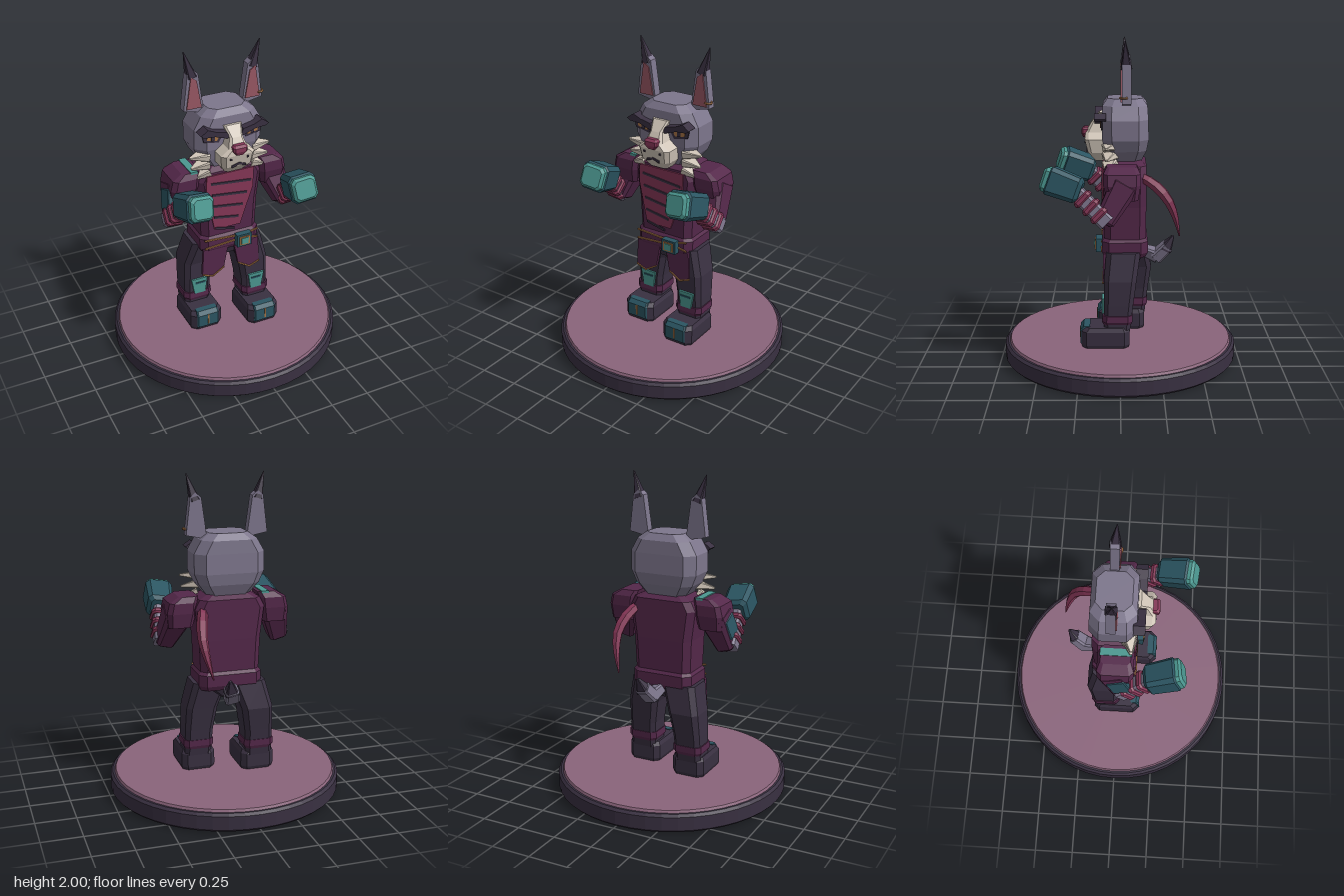
import * as THREE from 'three';

const mat = (name, color) => Object.assign(new THREE.MeshStandardMaterial({ color }), { name });

export function createModel() {
  const root = new THREE.Group();
  root.name = 'boxerFigure';
  const coat = mat('coatPlum', 0x54284a), burgundy = mat('burgundy', 0x843656);
  const charcoal = mat('charcoal', 0x393041), fur = mat('greyFur', 0x7d768c);
  const cream = mat('cream', 0xd0c5b8), teal = mat('teal', 0x4b9790);
  const deepTeal = mat('deepTeal', 0x2b5562), gold = mat('gold', 0xa87445);
  const mauve = mat('mauve', 0x8a647b), pink = mat('earPink', 0x985763);

  const add = (name, geo, m, parent = root) => {
    let g = geo;
    if (g.index) g = g.toNonIndexed();
    g.computeVertexNormals();
    const mesh = new THREE.Mesh(g, m);
    mesh.name = name;
    parent.add(mesh);
    return mesh;
  };

  // Faceted solid from chamfered rectangles stacked along y: [y, cx, cz, halfWidth, halfDepth]
  const loft = (rings, chamfer = 0.3) => {
    const loops = rings.map(([y, cx, cz, w, d]) => {
      const c = Math.min(w, d) * chamfer;
      return [[w, c - d], [w, d - c], [w - c, d], [c - w, d], [-w, d - c], [-w, c - d], [c - w, -d], [w - c, -d]]
        .map(([x, z]) => [cx + x, y, cz + z]);
    });
    const out = [];
    const cap = (i, flip) => {
      const [y, cx, cz] = rings[i], L = loops[i];
      L.forEach((p, j) => {
        const q = L[(j + 1) % 8];
        out.push(cx, y, cz, ...(flip ? p : q), ...(flip ? q : p));
      });
    };
    cap(0, true);
    for (let i = 0; i + 1 < loops.length; i++) {
      for (let j = 0; j < 8; j++) {
        const k = (j + 1) % 8, a = loops[i][j], b = loops[i][k], c = loops[i + 1][j], d = loops[i + 1][k];
        out.push(...a, ...c, ...b, ...b, ...c, ...d);
      }
    }
    cap(loops.length - 1, false);
    const g = new THREE.BufferGeometry();
    g.setAttribute('position', new THREE.Float32BufferAttribute(out, 3));
    return g;
  };

  // Tapered faceted bar from a to b, with bevelled ends
  const limb = (name, a, b, [w0, d0], [w1, d1], m, bevel = 0) => {
    const A = new THREE.Vector3(...a), D = new THREE.Vector3(...b).sub(A), n = D.length(), k = bevel / n;
    const rings = [[0, 0, 0, w0, d0], [n, 0, 0, w1, d1]];
    if (bevel) {
      rings[0][0] = bevel; rings[1][0] = n - bevel;
      rings.unshift([0, 0, 0, w0 - bevel, d0 - bevel]);
      rings.push([n, 0, 0, w1 - bevel, d1 - bevel]);
    }
    const mesh = add(name, loft(rings), m);
    mesh.quaternion.setFromUnitVectors(new THREE.Vector3(0, 1, 0), D.normalize());
    mesh.position.copy(A);
    return mesh;
  };

  // Flat plate facing +z; s mirrors it in x
  const plate = (name, pts, z, depth, m, s = 1) => {
    const shape = new THREE.Shape(pts.map(([x, y]) => new THREE.Vector2(x * s, y)));
    const mesh = add(name, new THREE.ExtrudeGeometry(shape, { depth, bevelEnabled: false }), m);
    mesh.position.z = z;
    return mesh;
  };
  const line = (name, [x0, y0], [x1, y1], t, z, m, s = 1) =>
    plate(name, [[x0, y0 - t], [x1, y1 - t], [x1, y1 + t], [x0, y0 + t]], z, 0.008, m, s);
  const box = (name, x, y, z, w, h, d, m) => {
    const mesh = add(name, new THREE.BoxGeometry(w, h, d), m);
    mesh.position.set(x, y, z);
    return mesh;
  };

  // Display base
  add('baseRim', new THREE.LatheGeometry([[0, 0], [0.715, 0], [0.73, 0.015], [0.73, 0.1], [0.715, 0.115], [0, 0.115]]
    .map((p) => new THREE.Vector2(...p)), 48), charcoal);
  add('baseTop', new THREE.CylinderGeometry(0.695, 0.705, 0.02, 48), mauve).position.y = 0.12;

  // Torso, hem and hips
  add('torso', loft([[0.76, 0, -0.03, 0.185, 0.125], [1.0, 0, -0.03, 0.195, 0.13], [1.19, 0, -0.03, 0.22, 0.13],
    [1.25, 0, -0.03, 0.19, 0.13], [1.28, 0, -0.03, 0.13, 0.09]]), coat);
  add('hem', loft([[0.68, 0, -0.03, 0.185, 0.125], [0.71, 0, -0.03, 0.2, 0.14], [0.78, 0, -0.03, 0.2, 0.14],
    [0.8, 0, -0.03, 0.185, 0.125]]), coat);
  add('hips', loft([[0.62, 0, -0.03, 0.05, 0.09], [0.7, 0, -0.03, 0.16, 0.12]]), charcoal);
  plate('chestPanel', [[-0.165, 1.235], [0.15, 1.235], [0.145, 1.1], [0.06, 0.85], [-0.115, 0.85], [-0.17, 1.12]],
    0.1, 0.009, burgundy);
  for (let i = 0; i < 5; i++) {
    const y = 1.18 - i * 0.08, x = -0.14 + i * 0.007;
    line('chestSeam', [x, y], [x + 0.27 - i * 0.035, y - 0.03], 0.007, 0.107, charcoal);
  }

  // Belt cords and buckle
  for (const [y0, y1] of [[0.785, 0.77], [0.725, 0.74]]) {
    line('beltCord', [-0.185, y0], [0.03, y1], 0.005, 0.11, gold);
    line('beltCord', [0.11, y1], [0.18, y0], 0.005, 0.11, gold);
  }
  box('buckle', 0.072, 0.745, 0.13, 0.1, 0.085, 0.04, deepTeal);
  box('buckleFrame', 0.072, 0.745, 0.151, 0.07, 0.06, 0.008, gold);
  box('buckleStone', 0.072, 0.745, 0.156, 0.048, 0.042, 0.008, teal);

  for (const s of [1, -1]) {
    const dz = s > 0 ? 0 : -0.1, X = (x) => x * s;

    // Staggered legs, cuffs, shin patches and boots
    add('leg', loft([[0.23, X(0.185), 0.02 + dz, 0.085, 0.08], [0.4, X(0.18), 0.01 + dz, 0.09, 0.09],
      [0.55, X(0.165), dz, 0.1, 0.1], [0.72, X(0.115), -0.02 + dz * 0.4, 0.11, 0.105]]), charcoal);
    add('legCuff', loft([[0.275, X(0.183), 0.018 + dz, 0.085, 0.085], [0.295, X(0.183), 0.018 + dz, 0.096, 0.093],
      [0.335, X(0.183), 0.016 + dz, 0.094, 0.092]]), coat);
    plate('shinPatch', [[0.14, 0.325], [0.215, 0.325], [0.235, 0.435], [0.125, 0.435]], 0.1 + dz, 0.012, teal, s);
    line('patchStitch', [0.14, 0.405], [0.21, 0.405], 0.006, 0.108 + dz, deepTeal, s);
    add('boot', loft([[0.13, X(0.18), 0.09 + dz, 0.1, 0.14], [0.15, X(0.18), 0.09 + dz, 0.107, 0.148],
      [0.235, X(0.18), 0.09 + dz, 0.107, 0.148], [0.26, X(0.18), 0.085 + dz, 0.095, 0.13]]), charcoal);
    add('toeCap', loft([[0.155, X(0.18), 0.22 + dz, 0.075, 0.026], [0.24, X(0.18), 0.22 + dz, 0.075, 0.026],
      [0.265, X(0.18), 0.205 + dz, 0.07, 0.02]]), deepTeal);
    line('toeTrim', [0.175, 0.205], [0.185, 0.205], 0.035, 0.243 + dz, gold, s);

    // Coat flaps with gold edging
    plate('coatFlap', [[0.02, 0.71], [0.19, 0.71], [0.2, 0.53], [0.13, 0.5], [0.05, 0.55]], 0.085, 0.02, coat, s);
    line('flapTrim', [0.2, 0.53], [0.13, 0.503], 0.005, 0.102, gold, s);
    line('flapTrim', [0.13, 0.503], [0.05, 0.553], 0.005, 0.102, gold, s);

    // Raised arms
    const az = s > 0 ? 0 : -0.055;
    const at = (t) => [X(0.375 - 0.03 * t), 0.975 + 0.155 * t, 0.1 + az + 0.16 * t];
    add('shoulder', loft([[1.08, X(0.3), -0.015, 0.075, 0.09], [1.17, X(0.295), -0.01, 0.09, 0.11],
      [1.235, X(0.285), -0.01, 0.085, 0.11], [1.27, X(0.25), -0.01, 0.06, 0.09]]), coat);
    limb('upperArm', [X(0.365), 0.945, 0.1 + az], [X(0.3), 1.17, -0.03], [0.055, 0.06], [0.085, 0.085], coat, 0.015);
    limb('forearm', at(-0.15), at(1), [0.05, 0.05], [0.045, 0.045], fur);
    for (const t of [0.15, 0.45, 0.75]) limb('armWrap', at(t - 0.09), at(t + 0.09), [0.063, 0.06], [0.06, 0.057], burgundy, 0.01);
    limb('glove', [X(0.353), 1.135, 0.23 + az], [X(0.322), 1.205, 0.43 + az], [0.078, 0.076], [0.085, 0.085], deepTeal, 0.022);
    limb('knucklePad', [X(0.326), 1.195, 0.4 + az], [X(0.318), 1.212, 0.452 + az], [0.078, 0.074], [0.076, 0.072], teal, 0.015);

    // Ears with dark tufts
    plate('ear', [[0.255, 1.635], [0.125, 1.61], [0.16, 1.86], [0.195, 1.89], [0.228, 1.86]], -0.065, 0.055, fur, s);
    plate('innerEar', [[0.238, 1.645], [0.142, 1.645], [0.172, 1.82], [0.208, 1.845]], -0.011, 0.008, pink, s);
    limb('earTuft', [X(0.195), 1.84, -0.037], [X(0.243), 2.0, -0.028], [0.03, 0.034], [0.002, 0.002], charcoal);

    // Eyes, brows and cheek tufts
    plate('eyeRim', [[0.055, 1.51], [0.2, 1.54], [0.185, 1.475], [0.09, 1.455]], 0.106, 0.008, charcoal, s);
    plate('iris', [[0.085, 1.505], [0.17, 1.525], [0.165, 1.485], [0.1, 1.472]], 0.112, 0.006, gold, s);
    plate('pupil', [[0.115, 1.515], [0.14, 1.52], [0.14, 1.478], [0.118, 1.475]], 0.116, 0.005, charcoal, s);
    plate('brow', [[0.035, 1.5], [0.055, 1.535], [0.125, 1.55], [0.175, 1.572], [0.22, 1.54], [0.2, 1.525], [0.13, 1.52], [0.05, 1.492]],
      0.085, 0.07, charcoal, s);
    for (let i = 0; i < 3; i++) {
      const y = 1.385 - i * 0.052;
      limb('cheekTuft', [X(0.15), y - 0.02, 0.06], [X(0.262 - i * 0.008), y - 0.015 - i * 0.02, 0.08],
        [0.028, 0.05], [0.006, 0.008], cream);
    }
    // Whisker dots
    box('whiskerDot', X(0.055), 1.38, 0.21, 0.012, 0.012, 0.012, charcoal);
  }

  // Head, muzzle, nose and mouth
  add('head', loft([[1.25, 0, -0.03, 0.12, 0.09], [1.34, 0, -0.035, 0.19, 0.125], [1.41, 0, -0.032, 0.22, 0.14],
    [1.53, 0, -0.03, 0.22, 0.14], [1.61, 0, -0.03, 0.175, 0.135], [1.65, 0, -0.03, 0.12, 0.105]], 0.42), fur);
  const muzzle = [[1.265, 0.06, 0.15], [1.32, 0.1, 0.195], [1.4, 0.11, 0.215], [1.44, 0.06, 0.21], [1.5, 0.042, 0.175], [1.56, 0.058, 0.125]];
  add('muzzle', loft(muzzle.map(([y, w, f]) => [y, 0, (f + 0.05) / 2, w, (f - 0.05) / 2])), cream);
  add('nose', loft([[1.405, 0, 0.2, 0.025, 0.025], [1.43, 0, 0.2, 0.045, 0.036], [1.455, 0, 0.2, 0.045, 0.035],
    [1.468, 0, 0.195, 0.035, 0.025]]), burgundy);
  for (const s of [1, -1]) line('mouth', [0, 1.34], [0.045, 1.325], 0.007, 0.198, charcoal, s);

  // Single earring
  const ring = add('earring', new THREE.TorusGeometry(0.02, 0.007, 6, 12), gold);
  ring.position.set(0.243, 1.67, -0.02);
  ring.rotation.x = Math.PI / 2;

  // Right shoulder strap, rivets and arm guard
  box('shoulderStrap', -0.235, 1.265, -0.01, 0.045, 0.022, 0.19, teal);
  for (const z of [-0.055, 0.07]) box('rivet', -0.287, 1.253, z, 0.022, 0.022, 0.022, gold);
  limb('armGuard', [-0.395, 1.03, 0.04], [-0.375, 1.15, -0.01], [0.02, 0.06], [0.02, 0.06], deepTeal, 0.006);

  // Tail
  limb('tailRoot', [0, 0.69, -0.13], [0.025, 0.655, -0.24], [0.03, 0.03], [0.046, 0.04], fur);
  limb('tailMiddle', [0.022, 0.645, -0.225], [0.045, 0.725, -0.3], [0.046, 0.04], [0.042, 0.036], fur);
  limb('tailTip', [0.042, 0.705, -0.285], [0.062, 0.79, -0.33], [0.044, 0.038], [0.008, 0.008], charcoal);

  // Trailing scarf end, tapering along a curve
  const path = new THREE.CatmullRomCurve3([[0.17, 1.19, -0.12], [0.2, 1.14, -0.21], [0.22, 1.05, -0.29], [0.205, 0.94, -0.335], [0.175, 0.82, -0.362]]
    .map((p) => new THREE.Vector3(...p)));
  const N = 8, sides = 6, scarf = new THREE.TubeGeometry(path, N, 1, sides), p = scarf.attributes.position;
  for (let i = 0; i <= N; i++) {
    const t = i / N, c = path.getPointAt(t), r = 0.004 + 0.03 * Math.sin(Math.PI * (0.3 + 0.7 * t));
    for (let j = 0; j <= sides; j++) {
      const k = i * (sides + 1) + j;
      const v = new THREE.Vector3().fromBufferAttribute(p, k).sub(c).multiplyScalar(r).add(c);
      p.setXYZ(k, v.x, v.y, v.z);
    }
  }
  add('scarfEnd', scarf, burgundy);
  return root;
}
